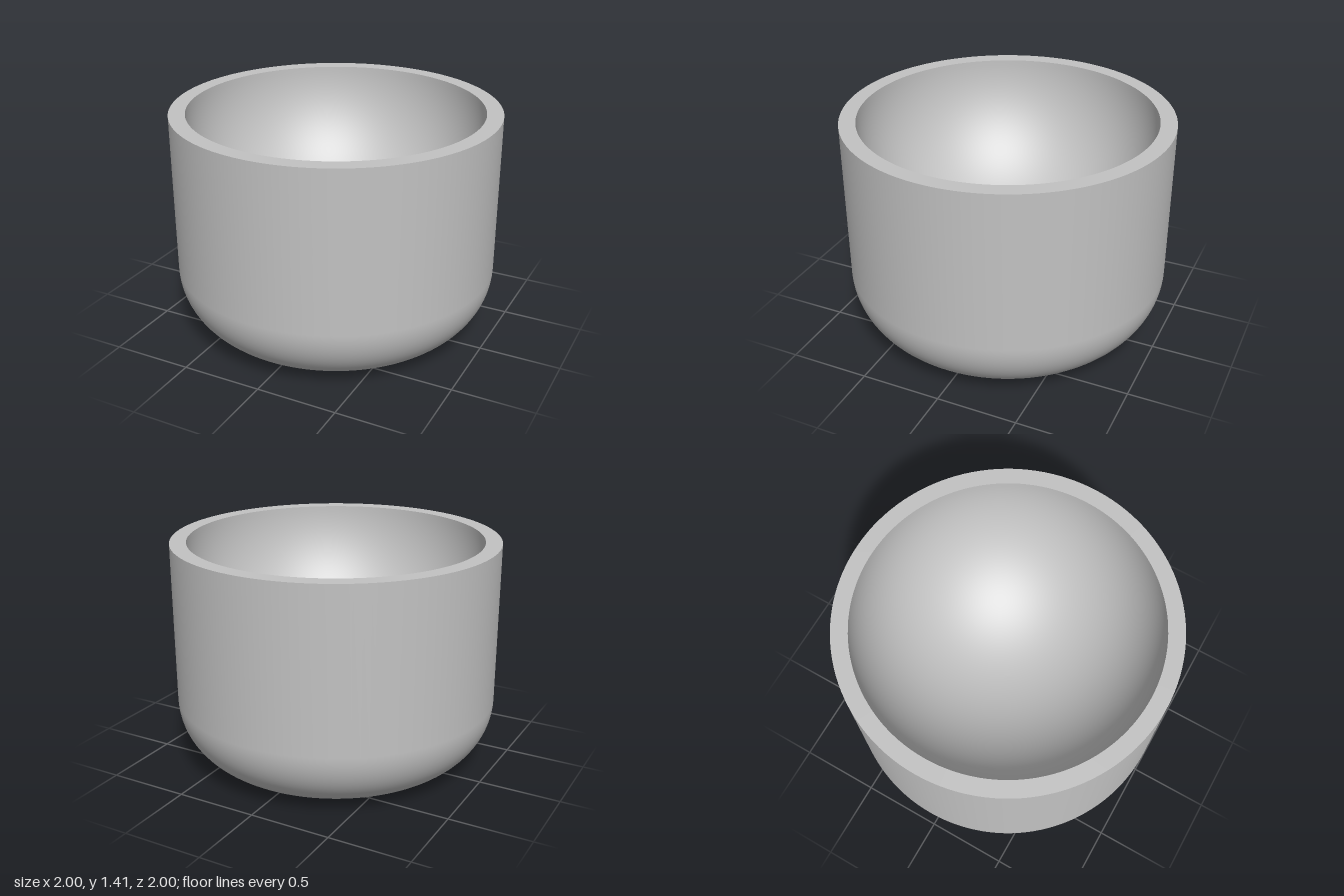
import * as THREE from 'three';

const SEGMENTS = 128;
const HEIGHT = 1.41;
const OUTER = 1;      // outer radius
const INNER = 0.9;    // radius of the hemispherical bowl
const FILLET = 0.42;  // rounding of the lower edge

// Quarter arc in the lathe profile, from angle a to angle b
function arc(cx, cy, r, a, b, steps) {
  return Array.from({ length: steps + 1 }, (_, i) => {
    const t = a + (b - a) * i / steps;
    return new THREE.Vector2(Math.max(0, cx + r * Math.cos(t)), cy + r * Math.sin(t));
  });
}

// Inward-facing rectangular pocket from stacked [halfX, halfZ, y] sections, closed at the top
function pocketGeometry(sections) {
  const signs = [[1, 1], [-1, 1], [-1, -1], [1, -1]];
  const rings = sections.map(([hx, hz, y]) => signs.map(([sx, sz]) => [sx * hx, y, sz * hz]));
  const pos = [];
  const quad = (a, b, c, d) => pos.push(...a, ...b, ...c, ...a, ...c, ...d);
  for (let r = 0; r < rings.length - 1; r++) {
    for (let i = 0; i < 4; i++) {
      const j = (i + 1) % 4;
      quad(rings[r][i], rings[r][j], rings[r + 1][j], rings[r + 1][i]);
    }
  }
  quad(...rings[rings.length - 1]);
  const g = new THREE.BufferGeometry();
  g.setAttribute('position', new THREE.Float32BufferAttribute(pos, 3));
  g.computeVertexNormals();
  return g;
}

export function createModel() {
  const group = new THREE.Group();
  group.name = 'roundBottomedCup';
  const grey = new THREE.MeshStandardMaterial({ color: 0xc2c2c2 });
  grey.name = 'grey';
  const add = (name, geometry) => {
    const mesh = new THREE.Mesh(geometry, grey);
    mesh.name = name;
    group.add(mesh);
  };
  const lathe = (points) => new THREE.LatheGeometry(points, SEGMENTS);

  // Outer wall with rounded lower edge
  add('outerWall', lathe([
    ...arc(OUTER - FILLET, FILLET, FILLET, -Math.PI / 2, 0, 20),
    new THREE.Vector2(OUTER, HEIGHT),
  ]));

  // Flat rim
  add('rim', lathe([new THREE.Vector2(OUTER, HEIGHT), new THREE.Vector2(INNER, HEIGHT)]));

  // Hemispherical inside
  add('bowl', lathe(arc(0, HEIGHT, INNER, 0, -Math.PI / 2, 40)));

  // Flat base with rectangular opening
  const base = new THREE.Shape().absarc(0, 0, OUTER - FILLET, 0, Math.PI * 2, false);
  const hx = 0.34, hz = 0.375, bevel = 0.03;
  base.holes.push(new THREE.Path([[-hx, -hz], [-hx, hz], [hx, hz], [hx, -hz]]
    .map(([x, y]) => new THREE.Vector2(x, y))));
  add('base', new THREE.ShapeGeometry(base, SEGMENTS).rotateX(Math.PI / 2));

  // Chamfered socket in the base
  add('socket', pocketGeometry([
    [hx, hz, 0],
    [hx - bevel, hz - bevel, bevel],
    [hx - bevel, hz - bevel, 0.41],
  ]));

  return group;
}
